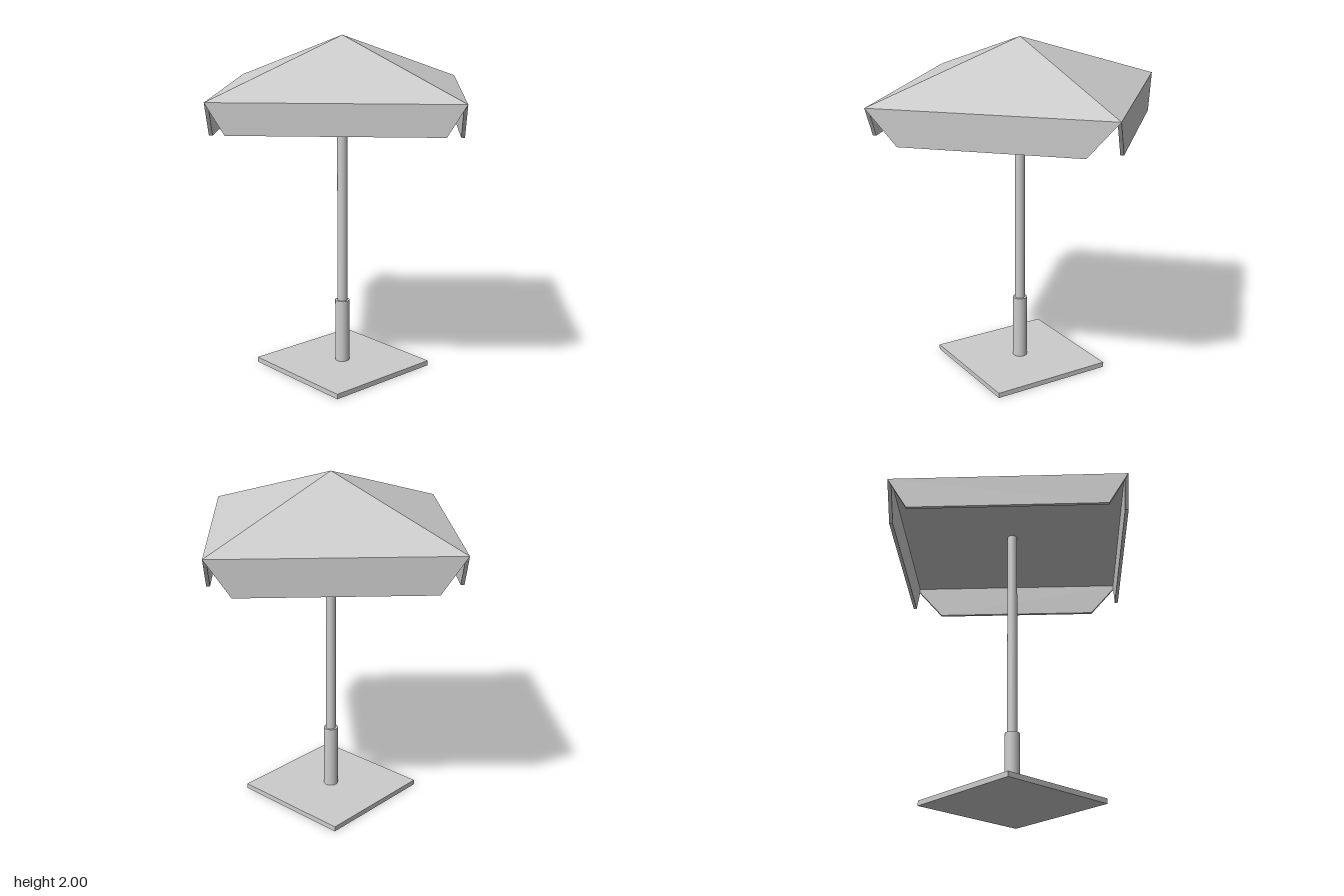
import * as THREE from 'three';

const R = 0.957;            // canopy corner radius
const EAVE = 1.7, TOP = 2;  // canopy heights
const THICK = 0.02;         // valance cloth thickness

export function createModel() {
  const group = new THREE.Group();
  const smooth = new THREE.MeshStandardMaterial({ color: 0xcccccc });
  const flat = new THREE.MeshStandardMaterial({ color: 0xcccccc, flatShading: true });

  const add = (name, geometry, material, y) => {
    const mesh = new THREE.Mesh(geometry, material);
    mesh.name = name;
    mesh.position.y = y;
    group.add(mesh);
    return mesh;
  };
  // Upright cylinder between two heights
  const column = (name, radius, y0, y1) =>
    add(name, new THREE.CylinderGeometry(radius, radius, y1 - y0, 24), smooth, (y0 + y1) / 2);

  // Stand: square foot plate, sleeve and pole
  add('basePlate', new THREE.BoxGeometry(0.74, 0.03, 0.74), flat, 0.015);
  column('poleSleeve', 0.043, 0.03, 0.415);
  column('pole', 0.03, 0.03, EAVE);

  // Canopy: four-sided pyramid with its corners on the x and z axes
  add('canopy', new THREE.ConeGeometry(R, TOP - EAVE, 4), flat, (TOP + EAVE) / 2);

  // Valances: tapered flaps of slightly different drop along each edge
  const half = R * Math.SQRT1_2;
  const flaps = [
    { drop: 0.2, inset: 0.122 },
    { drop: 0.208, inset: 0.1 },
    { drop: 0.19, inset: 0.08 },
    { drop: 0.172, inset: 0.073 },
  ];
  flaps.forEach(({ drop, inset }, i) => {
    const low = half - inset * Math.SQRT2;
    const shape = new THREE.Shape([
      new THREE.Vector2(-half, 0),
      new THREE.Vector2(-low, -drop),
      new THREE.Vector2(low, -drop),
      new THREE.Vector2(half, 0),
    ]);
    const geometry = new THREE.ExtrudeGeometry(shape, { depth: THICK, bevelEnabled: false });
    geometry.translate(0, 0, half - THICK);
    add('valance' + (i + 1), geometry, flat, EAVE).rotation.y = Math.PI / 4 + (i * Math.PI) / 2;
  });

  return group;
}
